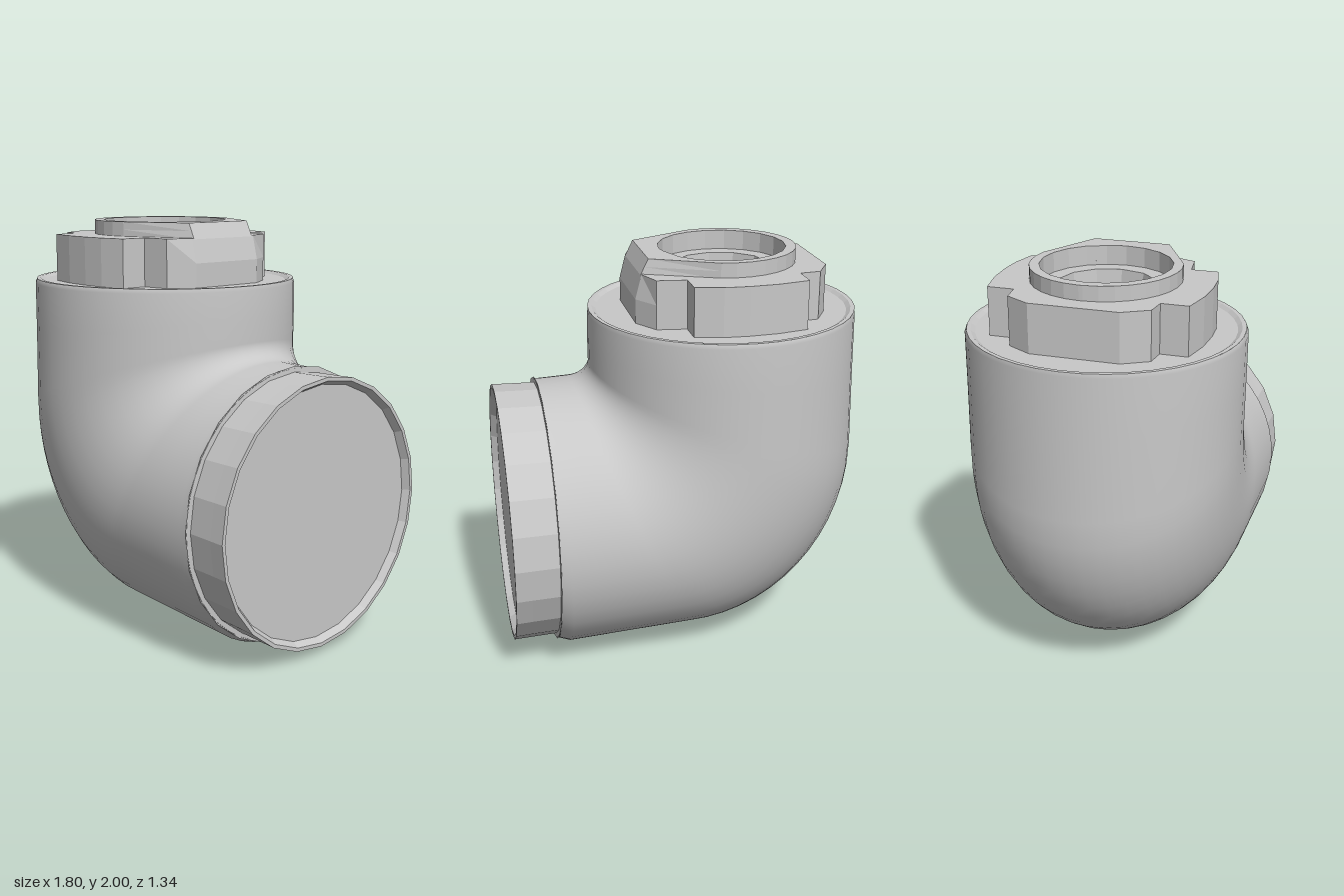
import * as THREE from 'three';

const metal = new THREE.MeshStandardMaterial({ color: 0xc8c8c8 });
metal.name = 'plainGrey';
const AXIS_X = -0.23; // upright axis of the fitting
const AXIS_Y = 0.69; // level axis of the side outlet

function part(name, geometry) {
  const mesh = new THREE.Mesh(geometry, metal);
  mesh.name = name;
  return mesh;
}

// Flat-faced lathe from [radius, height] points
function facetedLathe(points, sides) {
  const g = new THREE.LatheGeometry(points.map(([r, y]) => new THREE.Vector2(r, y)), sides).toNonIndexed();
  g.computeVertexNormals();
  return g;
}

// Extrude a plan outline (x, z) upward between two heights, with a round hole;
// the right end is trimmed by a sloping plane
function plate(outline, holeRadius, y0, y1, sides) {
  const shape = new THREE.Shape(outline.map(([x, z]) => new THREE.Vector2(x, -z)));
  const hole = [];
  for (let i = 0; i < sides; i++) {
    const a = (i / sides) * Math.PI * 2;
    hole.push(new THREE.Vector2(AXIS_X + holeRadius * Math.cos(a), holeRadius * Math.sin(a)));
  }
  shape.holes.push(new THREE.Path(hole));
  const g = new THREE.ExtrudeGeometry(shape, { depth: y1 - y0, steps: 2, bevelEnabled: false });
  g.rotateX(-Math.PI / 2).translate(0, y0, 0);
  const p = g.attributes.position;
  for (let i = 0; i < p.count; i++) {
    p.setX(i, Math.min(p.getX(i), 0.17 + (2 - p.getY(i)) * 0.5));
  }
  g.computeVertexNormals();
  return g;
}

// Elbow: elliptical rings spanning from the outer bend to the inner bend
function elbowGeometry() {
  const rings = [
    // outer x, outer y, inner x, inner y
    [-0.88, 1.711, 0.42, 1.711],
    [-0.885, 1.69, 0.425, 1.69],
    [-0.89, 1.4, 0.43, 1.55],
    [-0.9, 1.0, 0.43, 1.44],
  ];
  const steps = 14;
  for (let i = 1; i <= steps; i++) {
    const t = (i / steps) * Math.PI / 2;
    rings.push([
      -0.04 - 0.86 * Math.cos(t), 0.97 - 0.94 * Math.sin(t),
      0.53 - 0.1 * Math.cos(t), 1.44 - 0.085 * Math.sin(t),
    ]);
  }
  rings.push([0.3, 0.015, 0.6, 1.352], [0.62, 0, 0.66, 1.35], [0.69, 0.03, 0.69, 1.35]);
  const n = 48, positions = [], index = [];
  rings.forEach(([ox, oy, ix, iy], r) => {
    const rz = r === 0 ? 0.655 : 0.665;
    for (let j = 0; j < n; j++) {
      const a = (j / n) * Math.PI * 2, c = Math.cos(a) / 2;
      positions.push((ox + ix) / 2 + (ox - ix) * c, (oy + iy) / 2 + (oy - iy) * c, rz * Math.sin(a));
      if (r < rings.length - 1) {
        const p = r * n + j, q = r * n + (j + 1) % n;
        index.push(p, p + n, q, q, p + n, q + n);
      }
    }
  });
  const g = new THREE.BufferGeometry();
  g.setAttribute('position', new THREE.Float32BufferAttribute(positions, 3));
  g.setIndex(index);
  g.computeVertexNormals();
  return g;
}

export function createModel() {
  const group = new THREE.Group();
  group.name = 'pipeElbow';
  group.add(part('elbowBody', elbowGeometry()));

  // Shoulder closing the upright end, slightly sunk inside its edge
  const shoulder = facetedLathe([[0.655, 1.711], [0.635, 1.711], [0.615, 1.698], [0, 1.698]], 40);
  group.add(part('topShoulder', shoulder.translate(AXIS_X, 0, 0)));

  // Stepped rim of the side outlet, with its closed face sunk inside
  const rim = [[0.67, 0.688], [0.642, 0.69], [0.645, 0.82], [0.648, 0.9], [0.63, 0.9], [0.61, 0.865], [0, 0.865]];
  const outlet = facetedLathe(rim, 24).rotateZ(-Math.PI / 2);
  group.add(part('sideOutlet', outlet.translate(0, AXIS_Y, 0)));

  // Notched nut: half outline mirrored front to back
  const half = [
    [0.235, 0.2], [0.16, 0.32], [0.02, 0.34], [0.02, 0.47], [-0.11, 0.5], [-0.23, 0.507],
    [-0.37, 0.5], [-0.52, 0.47], [-0.52, 0.34], [-0.62, 0.33], [-0.69, 0.21],
  ];
  const mirror = (pts) => pts.concat(pts.slice().reverse().map(([x, z]) => [x, -z]));
  group.add(part('nut', plate(mirror(half), 0.31, 1.698, 1.93, 20)));

  // Raised lip with a lug reaching to the right
  const lip = [[0.25, 0.19]];
  for (let i = 0; i <= 9; i++) {
    const a = THREE.MathUtils.degToRad(75 + i * 11.5);
    lip.push([AXIS_X + 0.36 * Math.cos(a), 0.355 * Math.sin(a)]);
  }
  group.add(part('topLip', plate(mirror(lip), 0.31, 1.925, 2, 20)));

  // Ledge inside the lip and the tapered bore below it
  const bore = facetedLathe([[0.34, 1.905], [0.235, 1.905], [0.215, 1.7], [0, 1.7]], 12);
  group.add(part('bore', bore.translate(AXIS_X, 0, 0)));
  return group;
}
